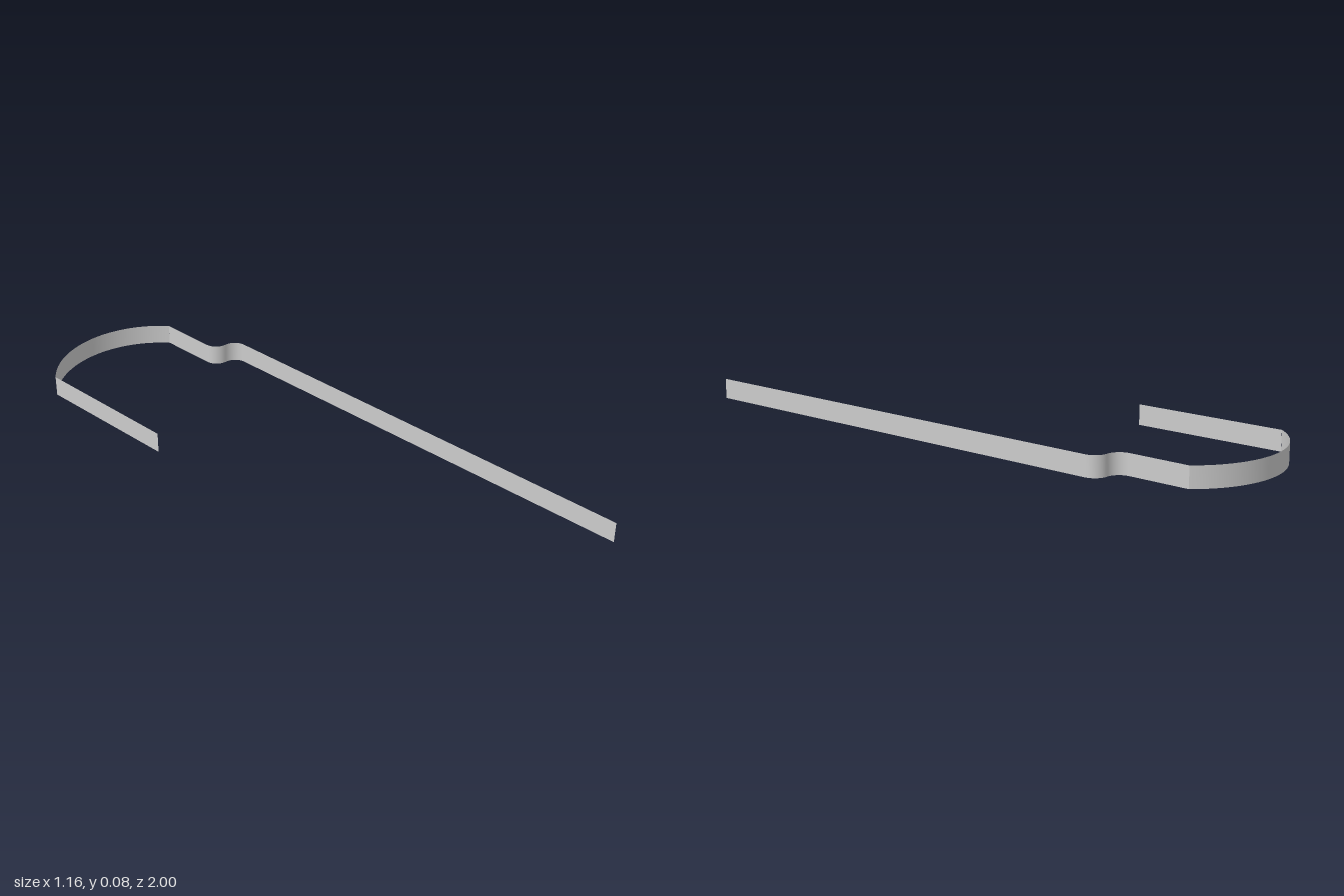
import * as THREE from 'three';

const HEIGHT = 0.075;
const TILT = Math.atan(0.267); // lean of both arms away from the z axis
const along = new THREE.Vector2(Math.sin(TILT), Math.cos(TILT)); // towards the open end
const across = new THREE.Vector2(along.y, -along.x);

// Upright sheet of zero thickness following a plan path of (x, z) points
function ribbon(name, points, material) {
  const positions = [];
  const index = [];
  points.forEach((p, i) => {
    positions.push(p.x, 0, p.y, p.x, HEIGHT, p.y);
    if (i > 0) {
      const a = 2 * (i - 1);
      index.push(a, a + 2, a + 1, a + 1, a + 2, a + 3);
    }
  });
  const geometry = new THREE.BufferGeometry();
  geometry.setAttribute('position', new THREE.Float32BufferAttribute(positions, 3));
  geometry.setIndex(index);
  geometry.computeVertexNormals();
  const mesh = new THREE.Mesh(geometry, material);
  mesh.name = name;
  return mesh;
}

// Points on a circular arc from one angle to another
function arc(center, radius, from, to, steps) {
  return Array.from({ length: steps + 1 }, (_, i) => {
    const t = from + ((to - from) * i) / steps;
    return new THREE.Vector2(center.x + radius * Math.cos(t), center.y + radius * Math.sin(t));
  });
}

export function createModel() {
  const group = new THREE.Group();
  group.name = 'hookedWall';
  const material = new THREE.MeshStandardMaterial({ color: 0xcccccc, side: THREE.DoubleSide });

  const longEnd = new THREE.Vector2(0.58, 1);
  const backRight = new THREE.Vector2(-0.037, -0.93);
  const backLeft = new THREE.Vector2(-0.58, -0.785);
  const shortEnd = new THREE.Vector2(-0.433, -0.235);

  // S-shaped step: two quarter circles joining the offset halves of the long arm
  const r = 0.05;
  const stepStart = new THREE.Vector2(0.141, -0.645);
  const stepEnd = stepStart.clone().addScaledVector(along, -2 * r).addScaledVector(across, -2 * r);
  const c1 = stepStart.clone().addScaledVector(across, -r);
  const c2 = stepEnd.clone().addScaledVector(across, r);
  const a0 = across.angle();
  const step = [
    ...arc(c1, r, a0, a0 - Math.PI / 2, 12),
    ...arc(c2, r, a0 + Math.PI / 2, a0 + Math.PI, 12).slice(1),
  ];
  group.add(ribbon('longArm', [longEnd, stepStart], material));
  group.add(ribbon('armStep', step, material));
  group.add(ribbon('rearArm', [stepEnd, backRight], material));

  // Shallow bowed wall between the two arms
  const center = new THREE.Vector2(-0.251, -0.64);
  const angleTo = (p) => Math.atan2(p.y - center.y, p.x - center.x);
  const bow = arc(center, 0.36, angleTo(backRight), angleTo(backLeft), 40);
  group.add(ribbon('bowedWall', bow, material));

  group.add(ribbon('shortArm', [backLeft, shortEnd], material));
  return group;
}
